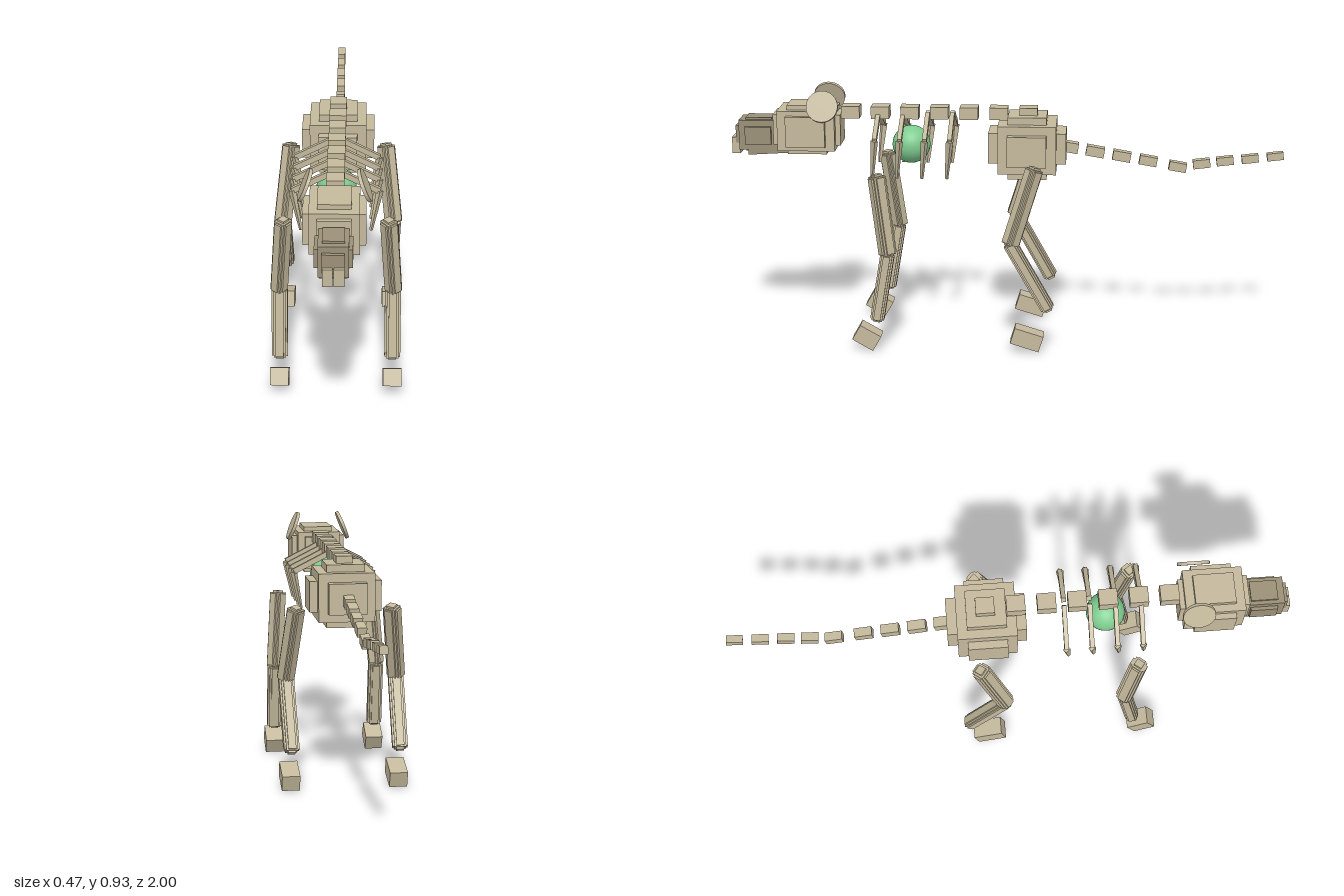
import * as THREE from 'three';

const bone = new THREE.MeshStandardMaterial({ color: 0xc4b99c });
bone.name = 'bone';
const darkBone = new THREE.MeshStandardMaterial({ color: 0x9b9077 });
darkBone.name = 'dark bone';
const green = new THREE.MeshStandardMaterial({ color: 0x7fcc90 });
green.name = 'glowing green';

const UP = new THREE.Vector3(0, 1, 0);

export function createModel() {
  const model = new THREE.Group();
  model.name = 'skeletonBeast';

  function add(parent, name, geometry, material, x = 0, y = 0, z = 0, rx = 0) {
    const mesh = new THREE.Mesh(geometry, material);
    mesh.name = name;
    mesh.position.set(x, y, z);
    mesh.rotation.x = rx;
    parent.add(mesh);
    return mesh;
  }
  const box = (w, h, d) => new THREE.BoxGeometry(w, h, d);

  // A stepped block: a core with a raised plate on each pair of faces
  function steppedBlock(name, w, h, d, material, core, plate) {
    const group = new THREE.Group();
    group.name = name;
    add(group, 'core', box(w * core[0], h * core[1], d * core[2]), material);
    add(group, 'sidePlates', box(w, h * plate[1], d * plate[2]), material);
    add(group, 'topAndBottomPlates', box(w * plate[0], h, d * plate[2]), material);
    add(group, 'frontAndBackPlates', box(w * plate[0], h * plate[1], d), material);
    model.add(group);
    return group;
  }

  // Places an object whose length runs along y between two points
  function span(object, a, b) {
    const p = new THREE.Vector3(...a), q = new THREE.Vector3(...b);
    object.position.copy(p).lerp(q, 0.5);
    object.quaternion.setFromUnitVectors(UP, q.sub(p).normalize());
  }
  const distance = (a, b) => new THREE.Vector3(...a).distanceTo(new THREE.Vector3(...b));

  function limb(name, a, b, w, d) {
    const bar = steppedBlock(name, w, distance(a, b), d, bone, [0.76, 0.95, 0.76], [0.5, 0.92, 0.5]);
    span(bar, a, b);
  }

  // Pelvis, head and snout
  steppedBlock('pelvis', 0.26, 0.228, 0.28, bone, [0.78, 0.77, 0.75], [0.53, 0.49, 0.5])
    .position.set(0, 0.727, -0.076);
  steppedBlock('head', 0.206, 0.18, 0.245, bone, [0.8, 0.81, 0.85], [0.54, 0.62, 0.58])
    .position.set(0, 0.785, 0.722);
  steppedBlock('snout', 0.124, 0.124, 0.17, darkBone, [0.8, 0.88, 0.84], [0.58, 0.52, 0.56])
    .position.set(0, 0.762, 0.9);
  add(model, 'lowerJaw', box(0.09, 0.03, 0.18), darkBone, 0, 0.708, 0.85, 0.06);

  // Spine
  for (let i = 0; i < 7; i++) {
    add(model, 'vertebra', box(0.06, 0.044, 0.066), bone, 0, 0.845, 0.566 - i * 0.1075);
  }

  // Tail: [y, z] of each segment, drooping and then rising
  const tail = [[0.722, -0.226], [0.706, -0.321], [0.69, -0.417], [0.674, -0.513], [0.653, -0.62],
    [0.665, -0.706], [0.676, -0.79], [0.685, -0.88], [0.695, -0.97]];
  tail.forEach(([y, z], i) => {
    const thick = 0.037 - i * 0.0012;
    add(model, 'tailSegment', box(thick, thick, 0.067 - i * 0.001), bone, 0, y, z, i < 5 ? -0.17 : 0.12);
  });

  // Orb inside the rib cage
  add(model, 'heartOrb', new THREE.SphereGeometry(0.069, 32, 20), green, 0, 0.725, 0.348);

  for (const s of [1, -1]) {
    const side = s > 0 ? 'left' : 'right';

    // Ears: thin discs leaning inwards
    const ear = add(model, side + 'Ear', new THREE.CylinderGeometry(0.057, 0.057, 0.012, 32), bone,
      s * 0.098, 0.88, 0.658);
    ear.rotation.z = s * (0.38 - Math.PI / 2);
    // Front teeth
    add(model, side + 'Tooth', box(0.033, 0.06, 0.03), bone, s * 0.0185, 0.72, 0.985);

    // Ribs: a flat upper bar and a tapering lower spike
    for (let i = 0; i < 4; i++) {
      const z = 0.466 - i * 0.0897;
      const root = [s * 0.01, 0.838, z], elbow = [s * 0.148, 0.768, z], tip = [s * 0.119, 0.626, z + 0.014];
      const upper = add(model, side + 'UpperRib', box(0.02, distance(root, elbow), 0.016), bone);
      span(upper, root, elbow);
      const spike = new THREE.CylinderGeometry(0.007, 0.015, 1, 4).rotateY(Math.PI / 4).toNonIndexed();
      spike.scale(1, distance(elbow, tip), 0.75);
      spike.computeVertexNormals();
      span(add(model, side + 'LowerRib', spike, bone), elbow, tip);
    }

    // Front leg
    limb(side + 'FrontUpperLeg', [s * 0.18, 0.655, 0.457], [s * 0.2, 0.355, 0.417], 0.06, 0.054);
    limb(side + 'FrontLowerLeg', [s * 0.198, 0.37, 0.418], [s * 0.198, 0.11, 0.462], 0.056, 0.05);
    add(model, side + 'FrontPaw', box(0.066, 0.062, 0.086), bone, s * 0.198, 0.054, 0.497, -0.52);

    // Hind leg
    limb(side + 'HindUpperLeg', [s * 0.173, 0.685, -0.109], [s * 0.205, 0.4, -0.02], 0.06, 0.06);
    limb(side + 'HindLowerLeg', [s * 0.203, 0.42, -0.016], [s * 0.198, 0.16, -0.162], 0.056, 0.05);
    add(model, side + 'HindPaw', box(0.066, 0.06, 0.108), bone, s * 0.198, 0.056, -0.083, -0.3);
  }

  return model;
}
